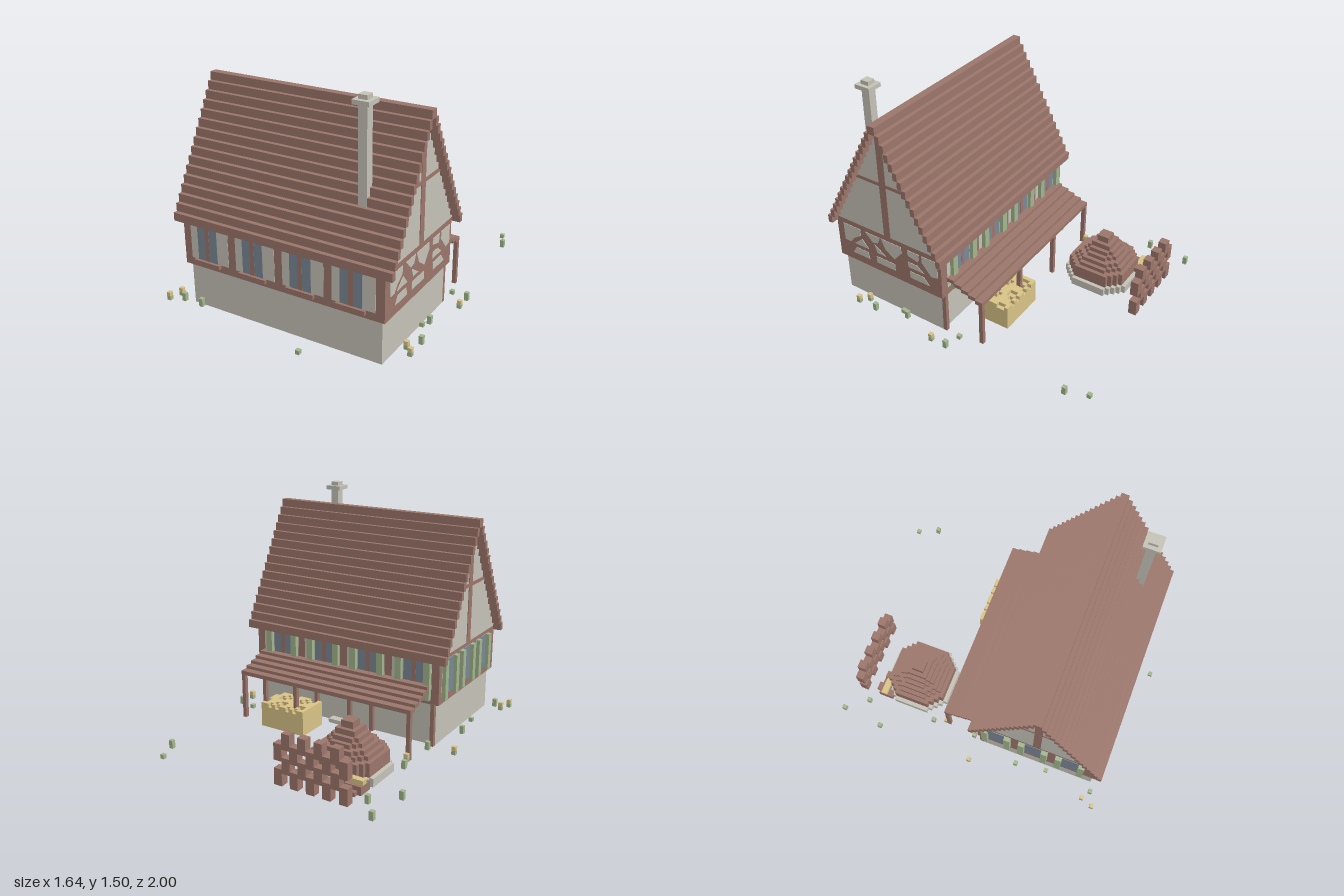
import * as THREE from 'three';

const mat = (name, color, side = THREE.FrontSide) => {
  const m = new THREE.MeshStandardMaterial({ color, side });
  m.name = name;
  return m;
};

export function createModel() {
  const model = new THREE.Group();
  model.name = 'timberHouse';
  const brown = mat('timber brown', 0x9c766b), grey = mat('plaster grey', 0xc6c4b8);
  const blue = mat('window blue', 0x7b8897), green = mat('leaf green', 0xa3b78e);
  const yellow = mat('straw yellow', 0xdac587);

  const add = (name, geo, m, parent = model) => {
    const mesh = new THREE.Mesh(geo, m);
    mesh.name = name;
    parent.add(mesh);
    return mesh;
  };
  const group = (name) => {
    const g = new THREE.Group();
    g.name = name;
    model.add(g);
    return g;
  };
  // box given by its limits on each axis
  const box = (name, m, [x0, x1], [y0, y1], [z0, z1], parent) => {
    const mesh = add(name, new THREE.BoxGeometry(x1 - x0, y1 - y0, z1 - z0), m, parent);
    mesh.position.set((x0 + x1) / 2, (y0 + y1) / 2, (z0 + z1) / 2);
    return mesh;
  };
  const L = -0.68, R = 0.706, B = 0.035, F = 0.863, ZC = 0.4425, V = 0.02667;

  // ground floor: four thin walls, open underneath
  const base = group('groundFloor');
  box('frontWall', grey, [-0.653, 0.68], [0, 0.281], [0.834, 0.84], base);
  box('backWall', grey, [-0.653, 0.68], [0, 0.281], [0.06, 0.066], base);
  box('leftWall', grey, [0.674, 0.68], [0, 0.281], [0.066, 0.834], base);
  box('rightWall', grey, [-0.653, -0.647], [0, 0.281], [0.066, 0.834], base);
  box('floor', grey, [-0.647, 0.674], [0.15, 0.17], [0.066, 0.834], base);
  box('doorStep', grey, [-0.05, 0.11], [0, 0.027], [0.005, 0.06], base);
  for (const x of [-0.64, -0.2, 0.23, 0.667])
    box('wallPost', brown, [x - 0.013, x + 0.013], [0, 0.285], [0.033, 0.06], base);

  // overhanging upper floor
  box('upperFloor', brown, [L, R], [0.281, 0.585], [B, F]);

  // windows on the front and back
  const windows = group('windows');
  for (const c of [-0.504, -0.171, 0.162, 0.495]) {
    for (const s of [1, -1]) {
      const plate = (name, m, a, b, t) =>
        box(name, m, [c + a, c + b], [0.332, 0.56], s > 0 ? [F, F + t] : [B - t, B], windows);
      plate('plaster', grey, -0.124, 0.155, 0.002);
      plate('pane', blue, -0.072, 0.072, 0.0035);
      plate('mullion', brown, -0.016, 0.014, 0.005);
    }
    box('sill', brown, [c - 0.095, c + 0.095], [0.308, 0.333], [F, F + 0.021], windows);
    for (const s of [-0.1, 0.1])
      box('shutter', green, [c + s - 0.022, c + s + 0.022], [0.31, 0.56], [0.007, B], windows);
  }
  // windows on the -x side
  for (const c of [0.17, 0.42, 0.67]) {
    box('plaster', grey, [L - 0.002, L], [0.332, 0.56], [c - 0.1, c + 0.1], windows);
    box('pane', blue, [L - 0.004, L], [0.332, 0.56], [c - 0.055, c + 0.055], windows);
    for (const s of [-0.077, 0.077])
      box('shutter', green, [L - 0.027, L], [0.31, 0.56], [c + s - 0.02, c + s + 0.02], windows);
  }

  // plaster patches between the braces on the +x side, points as (z, y)
  const patches = [
    [[0.81, 0.55], [0.67, 0.55], [0.67, 0.5], [0.73, 0.46], [0.76, 0.42], [0.81, 0.42]],
    [[0.73, 0.42], [0.66, 0.48], [0.61, 0.42]],
    [[0.63, 0.55], [0.51, 0.55], [0.53, 0.5], [0.57, 0.49]],
    [[0.5, 0.55], [0.34, 0.55], [0.34, 0.5], [0.4, 0.43], [0.47, 0.48]],
    [[0.56, 0.48], [0.54, 0.42], [0.47, 0.42]],
    [[0.29, 0.55], [0.2, 0.55], [0.21, 0.49], [0.29, 0.51]],
    [[0.29, 0.46], [0.22, 0.46], [0.17, 0.42], [0.29, 0.42]],
    [[0.18, 0.55], [0.06, 0.55], [0.06, 0.43], [0.11, 0.42], [0.18, 0.5]],
    [[0.72, 0.39], [0.62, 0.39], [0.61, 0.34], [0.75, 0.34]],
    [[0.55, 0.39], [0.4, 0.39], [0.4, 0.34], [0.55, 0.34]],
    [[0.28, 0.39], [0.17, 0.39], [0.13, 0.34], [0.28, 0.34]],
  ];
  for (const p of patches) {
    const shape = new THREE.Shape(p.map(([z, y]) => new THREE.Vector2(-z, y)));
    const geo = new THREE.ExtrudeGeometry(shape, { depth: 0.003, bevelEnabled: false });
    add('plasterPatch', geo.rotateY(Math.PI / 2).translate(R, 0, 0), grey);
  }

  // gable block with timber cross on both ends
  const tri = new THREE.Shape([[-ZC - 0.425, 0.585], [-ZC + 0.425, 0.585], [-ZC, 1.377]].map((p) => new THREE.Vector2(...p)));
  const gable = new THREE.ExtrudeGeometry(tri, { depth: R - L, bevelEnabled: false });
  add('gable', gable.rotateY(Math.PI / 2).translate(L, 0, 0), grey);
  for (const x of [[R, R + 0.004], [L - 0.004, L]]) {
    box('gablePost', brown, x, [0.585, 1.34], [ZC - 0.025, ZC + 0.025]);
    box('gableBeam', brown, x, [0.955, 0.978], [ZC - 0.21, ZC + 0.21]);
  }

  // stepped roof, mirrored about the ridge
  const roof = group('roof');
  for (let i = 0; i < 16; i++) {
    const out = 0.4425 - i * 0.0278, y = 0.56 + i * 0.0518, inner = Math.max(0, out - 0.031);
    for (const s of [-1, 1]) {
      const z = [ZC + s * out, ZC + s * inner].sort((a, b) => a - b);
      box('roofCourse', brown, [-0.735, 0.76], [y, y + 0.053], z, roof);
    }
  }

  // chimney
  box('chimneyShaft', grey, [0.455, 0.51], [0.86, 1.5], [0.665, 0.723]);
  box('chimneyCap', grey, [0.43, 0.536], [1.447, 1.474], [0.64, 0.75]);

  // lean-to porch at the back
  const porch = group('porch');
  for (let i = 0; i < 5; i++) {
    const z = 0.035 - i * 0.052, y = 0.412 - i * 0.02;
    box('porchCourse', brown, [-0.625, 0.655], [y - 0.027, y], [z - 0.053, z], porch);
  }
  for (const x of [-0.61, -0.19, 0.22, 0.64])
    box('porchPost', brown, [x - 0.013, x + 0.013], [0, 0.33], [-0.225, -0.198], porch);

  // hay under the porch, with loose tufts on top
  const hay = group('hay');
  box('hayBale', yellow, [0.125, 0.455], [0, 0.14], [-0.275, -0.055], hay);
  for (let i = 0; i < 12; i++)
    for (let k = 0; k < 8; k++)
      if ((i * 7 + k * 5 + i * k) % 5 < 3)
        box('hayTuft', yellow, [0.125 + i * 0.0275, 0.1525 + i * 0.0275], [0.14, 0.166],
          [-0.275 + k * 0.0275, -0.2475 + k * 0.0275], hay);

  // blocky oven: hollow stacked rings with stair-stepped octagon outlines
  const oven = group('oven');
  const outline = (n) => {
    const right = [];
    for (let j = -n; j <= n; j++) {
      const w = (Math.min(n, Math.round(1.414 * (n + 0.5) - Math.abs(j))) + 0.5) * V;
      right.push([w, (j - 0.5) * V], [w, (j + 0.5) * V]);
    }
    const left = right.map(([x, y]) => [-x, y]).reverse();
    return [...right, ...left].map((p) => new THREE.Vector2(...p));
  };
  const ring = (name, m, n, hole, y0, y1) => {
    const shape = new THREE.Shape(outline(n));
    if (hole >= 0) shape.holes.push(new THREE.Path(outline(hole).reverse()));
    const geo = new THREE.ExtrudeGeometry(shape, { depth: y1 - y0, bevelEnabled: false });
    add(name, geo.rotateX(-Math.PI / 2).translate(-0.38, y0, -0.507), m, oven);
  };
  ring('stoneRing', grey, 8, 6, 0, 0.054);
  const tops = [0.054, 0.14, 0.167, 0.195, 0.222, 0.25, 0.285, 0.328];
  for (let i = 0; i < 7; i++) ring('ovenCourse', brown, 7 - i, i < 6 ? 6 - i : -1, tops[i], tops[i + 1]);
  box('fuelBox', brown, [-0.6, -0.49], [0, 0.054], [-0.75, -0.65], oven);
  box('fuelStep', brown, [-0.575, -0.52], [0, 0.027], [-0.78, -0.75], oven);
  box('ovenMouth', brown, [-0.49, -0.44], [0, 0.085], [-0.745, -0.66], oven);
  box('kindling', yellow, [-0.6, -0.49], [0.054, 0.083], [-0.73, -0.69], oven);

  // staggered firewood wall
  const wood = group('firewood');
  for (let i = 0; i < 9; i++)
    for (const y of i % 2 ? [[0.08, 0.18], [0.23, 0.33]] : [[0, 0.105], [0.155, 0.26]])
      box('log', brown, [-0.6 + i * 0.055, -0.545 + i * 0.055], y, [-0.893, -0.84], wood);

  // grass tufts and yellow flowers
  const plants = group('plants');
  const tuft = (x, z, h, top) => {
    box('grass', green, [x - 0.0133, x + 0.0133], [0, h], [z - 0.0133, z + 0.0133], plants);
    if (top) box('flower', yellow, [x - 0.0133, x + 0.0133], [h, h + 0.027], [z - 0.0133, z + 0.0133], plants);
  };
  for (const [x, z] of [[-0.78, -0.935], [-0.67, -0.795], [-0.81, -0.655], [-0.64, -0.32], [-0.64, -0.015],
    [0.72, -0.85], [0.8, -0.045], [0.775, 0.54], [0.72, 0.32], [-0.72, 0.86], [-0.72, 0.32], [-0.585, 0.86]])
    tuft(x, z, 0.054);
  for (const [x, z] of [[-0.61, -0.235], [-0.81, 0.01], [0.8, 0.065], [0.775, 0.68], [-0.78, 0.82],
    [-0.81, 0.9], [0.725, 0.63]])
    tuft(x, z, 0.027, true);
  for (const [x, z] of [[0.22, 0.987], [0.665, -0.987], [0.69, -0.07], [0.695, 0.37], [-0.69, 0.53]])
    tuft(x, z, 0.027);

  return model;
}
